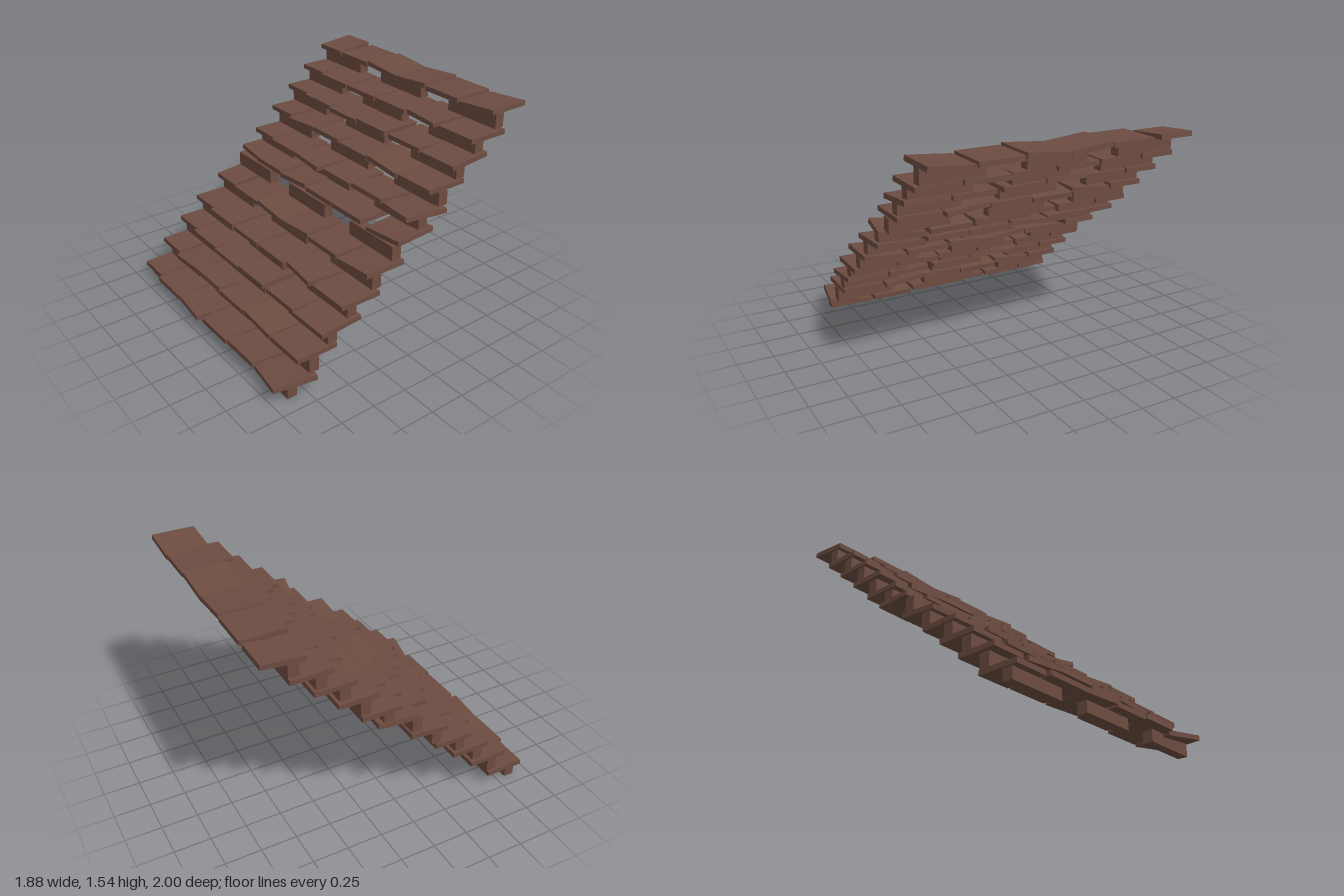
import * as THREE from 'three';

const brown = new THREE.MeshStandardMaterial({ color: 0x6d4c41 });
brown.name = 'brown';

// One course of shingles: slab height y, slab centre z, support block z and bottom,
// then one entry per slab: [x, pitch, yaw, roll, z shift]
const EDGE = -0.813;
const COURSES = [
  { y: 0.097, z: 0.81, blockZ: 0.853, blockY: 0, dz: 1.024, slabs: [
    [EDGE], [-0.525], [-0.207, 0, -0.09, 0, 0.009], [0.12], [0.443, -0.1], [0.761, 0, -0.18, 0.09, 0.008]] },
  { y: 0.247, z: 0.65, blockZ: 0.685, blockY: 0.118, dz: 1.024, slabs: [
    [EDGE], [-0.525, 0, 0, 0.09], [-0.22, -0.1], [0.095], [0.405, 0, 0, -0.09], [0.735, 0, 0, 0, 0.01]] },
  { y: 0.388, z: 0.493, blockZ: 0.545, blockY: 0.275, dz: 1.024, slabs: [
    [EDGE], [-0.525], [-0.22, 0.09], [0.092], [0.443], [0.76, 0.09]] },
  { y: 0.52, z: 0.343, blockZ: 0.392, blockY: 0.408, dz: 1.024, slabs: [
    [EDGE], [-0.525], [-0.2], [0.12], [0.426, 0, -0.11, 0, -0.015], [0.76]] },
  { y: 0.665, z: 0.148, blockZ: 0.197, blockY: 0.542, dz: 1.0, slabs: [
    [EDGE, 0.09], [-0.486], [-0.175, 0, 0, -0.09], [0.13, 0, 0, 0.09], [0.443], [0.76, 0, 0, 0.09]] },
  { y: 0.826, z: -0.085, blockZ: 0.04, blockY: 0.698, slabs: [
    [EDGE, 0.03, -0.06, -0.06], [-0.525], [-0.22, 0, 0, 0.09], [0.092], [0.4], [0.765, 0.03, 0.04, 0.07]] },
];
const REPEAT_RISE = 0.845;

const slabGeo = new THREE.BoxGeometry(0.304, 0.034, 0.304);
const edgeSlabGeo = new THREE.BoxGeometry(0.245, 0.034, 0.28);
const blockGeo = new THREE.BoxGeometry(0.43, 0.103, 0.072);

function addPart(parent, geometry, name, x, y, z) {
  const mesh = new THREE.Mesh(geometry, brown);
  mesh.name = name;
  mesh.position.set(x, y, z);
  parent.add(mesh);
  return mesh;
}

function makeCourse(c) {
  const course = new THREE.Group();
  course.name = 'shingleCourse';
  // Overlapping slabs, the narrow one on the right edge
  c.slabs.forEach(([x, pitch = 0, yaw = 0, roll = 0, shift = 0], i) => {
    const slab = addPart(course, i ? slabGeo : edgeSlabGeo, i ? 'shingle' : 'edgeShingle',
      x, c.y, c.z + (i ? shift : -0.016));
    slab.rotation.set(pitch, yaw, roll);
  });
  // Support blocks beneath the slabs
  for (const x of [-0.705, -0.035, 0.67]) {
    addPart(course, blockGeo, 'supportBlock', x, c.blockY + 0.0515, c.blockZ);
  }
  return course;
}

export function createModel() {
  const roof = new THREE.Group();
  roof.name = 'shingleRoof';
  for (const c of COURSES) {
    roof.add(makeCourse(c));
    // The lower five courses repeat further up the slope
    if (c.dz) {
      const upper = makeCourse(c);
      upper.position.set(0, REPEAT_RISE, -c.dz);
      roof.add(upper);
    }
  }
  return roof;
}
